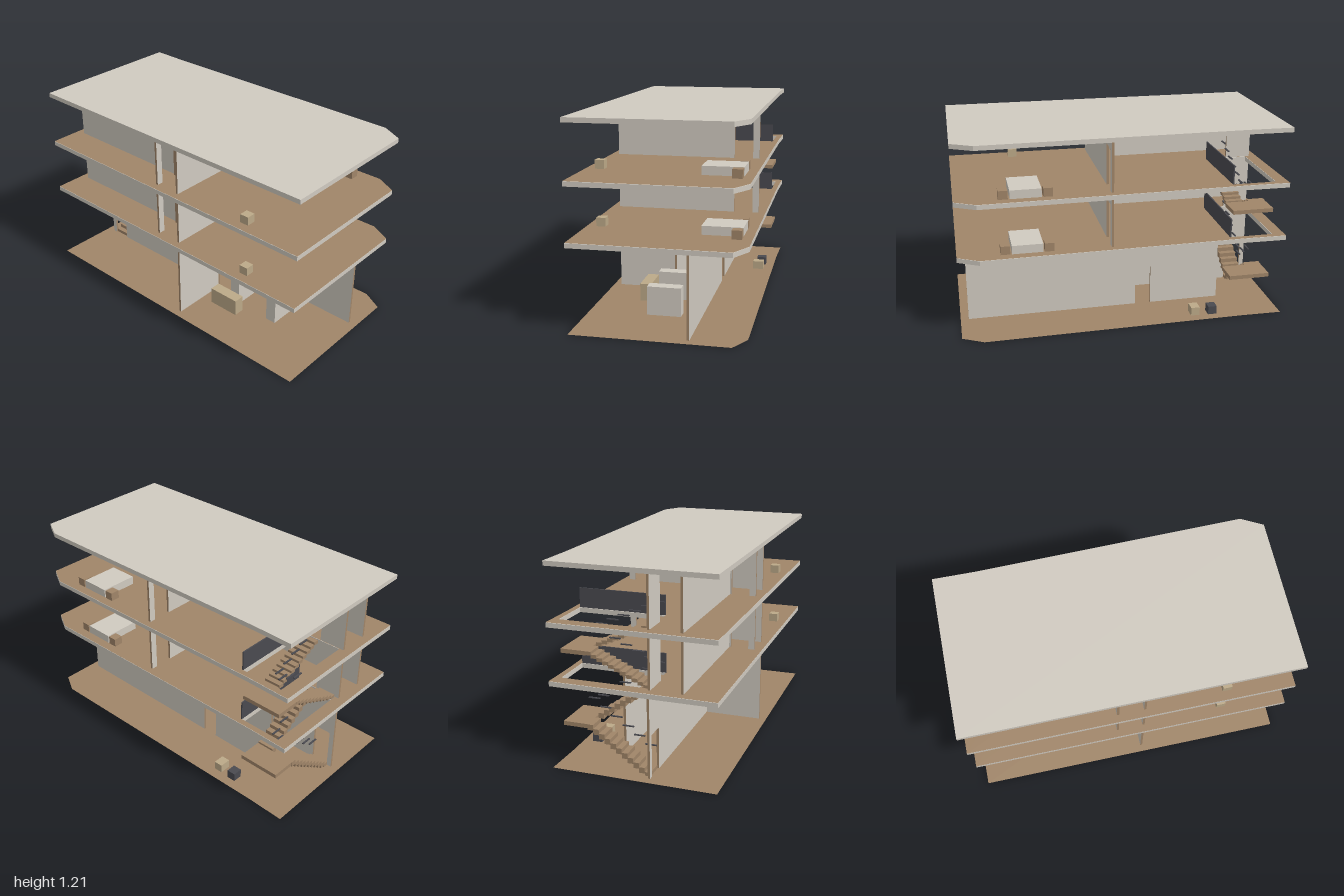
import * as THREE from 'three';

const mat = (name, color) => {
  const m = new THREE.MeshStandardMaterial({ color });
  m.name = name;
  return m;
};

export function createModel() {
  const plaster = mat('plaster', 0xd0cac0);
  const wood = mat('wood', 0xa08568);
  const woodFloor = mat('wood floor', 0xa08568);
  woodFloor.side = THREE.DoubleSide;
  const tan = mat('tan', 0xbca988);
  const dark = mat('dark grey', 0x4a4a50);
  const root = new THREE.Group();
  root.name = 'house';

  // box given by its min and max on each axis
  const box = (parent, name, m, x0, x1, y0, y1, z0, z1) => {
    const mesh = new THREE.Mesh(new THREE.BoxGeometry(x1 - x0, y1 - y0, z1 - z0), m);
    mesh.position.set((x0 + x1) / 2, (y0 + y1) / 2, (z0 + z1) / 2);
    mesh.name = name;
    parent.add(mesh);
    return mesh;
  };
  const group = (name, parent = root) => {
    const g = new THREE.Group();
    g.name = name;
    parent.add(g);
    return g;
  };

  // thin walls: plaster faces, wooden ends, optional door opening [from, to]
  const T = 0.007;
  const endsX = [wood, wood, plaster, plaster, plaster, plaster];
  const endsZ = [plaster, plaster, plaster, plaster, wood, wood];
  const wall = (parent, name, axis, at, a, b, y0, y1, door) => {
    const piece = (p, q, lo, hi) => axis === 'x'
      ? box(parent, name, endsX, p, q, lo, hi, at - T, at + T)
      : box(parent, name, endsZ, at - T, at + T, lo, hi, p, q);
    if (!door) return piece(a, b, y0, y1);
    piece(a, door[0], y0, y1);
    piece(door[1], b, y0, y1);
    const lintel = piece(door[0], door[1], y0 + 0.255, y1);
    lintel.material = plaster;
  };

  // floor outline with a cut corner; shape y is -z
  const outline = (hole) => {
    const s = new THREE.Shape([
      [-1, -0.495], [1, -0.495], [1, 0.43], [0.87, 0.5], [-0.75, 0.485], [-1, 0.49],
    ].map(([x, y]) => new THREE.Vector2(x, y)));
    if (hole) {
      s.holes.push(new THREE.Path([
        [-0.925, -0.08], [-0.925, 0.45], [-0.66, 0.45], [-0.66, -0.08],
      ].map(([x, y]) => new THREE.Vector2(x, y))));
    }
    return s;
  };
  const sheet = (name, y, hole) => {
    const m = new THREE.Mesh(new THREE.ShapeGeometry(outline(hole)).rotateX(-Math.PI / 2), woodFloor);
    m.position.y = y;
    m.name = name;
    root.add(m);
  };
  const slab = (name, y0, y1, hole) => {
    const geo = new THREE.ExtrudeGeometry(outline(hole), { depth: y1 - y0, bevelEnabled: false });
    const m = new THREE.Mesh(geo.rotateX(-Math.PI / 2), plaster);
    m.position.y = y0;
    m.name = name;
    root.add(m);
  };

  // floors and roof
  sheet('groundFloor', 0.002, false);
  slab('firstSlab', 0.5, 0.528, true);
  sheet('firstFloorBoards', 0.53, true);
  slab('secondSlab', 0.842, 0.87, true);
  sheet('secondFloorBoards', 0.872, true);
  slab('roof', 1.186, 1.214, false);

  // ground floor walls
  const ground = group('groundFloorWalls');
  wall(ground, 'entranceWall', 'x', 0.082, -0.95, 0.088, 0, 0.5, [-0.92, -0.81]);
  wall(ground, 'frontDivider', 'z', 0.081, 0.089, 0.45, 0, 0.5);
  wall(ground, 'rearWall', 'x', -0.18, -0.67, 0.95, 0, 0.5, [-0.22, -0.12]);

  // ground floor furniture
  const lobby = group('lobbyFurniture');
  box(lobby, 'counter', tan, 0.165, 0.37, 0, 0.11, 0.175, 0.245);
  for (const x of [0.24, 0.535]) box(lobby, 'cabinet', plaster, x, x + 0.07, 0, 0.177, -0.065, 0.14);
  box(lobby, 'tanBin', tan, -0.485, -0.43, 0, 0.055, -0.425, -0.355);
  box(lobby, 'darkBin', dark, -0.595, -0.54, 0, 0.055, -0.43, -0.37);

  // the two upper storeys
  for (const [y, top] of [[0.53, 0.842], [0.872, 1.186]]) {
    const storey = group('upperStorey');
    wall(storey, 'bedroomWall', 'z', 0.081, -0.45, 0.45, y, top, [-0.41, -0.295]);
    wall(storey, 'frontWall', 'x', 0.28, -0.95, -0.078, y, top);
    wall(storey, 'hallWall', 'z', -0.085, 0.287, 0.45, y, top, [0.297, 0.41]);
    wall(storey, 'stairWall', 'x', 0.09, -0.95, -0.79, y, top);
    box(storey, 'stairGuard', dark, -0.66, -0.652, y, y + 0.117, -0.45, 0.08);
    box(storey, 'bed', plaster, 0.495, 0.68, y, y + 0.052, -0.44, -0.2);
    for (const x of [0.43, 0.69]) box(storey, 'nightstand', wood, x, x + 0.056, y, y + 0.052, -0.44, -0.382);
    box(storey, 'stool', tan, 0.56, 0.616, y, y + 0.052, 0.382, 0.438);
  }

  // stairs: a flight back to the landing, then one forward to the next floor
  const N = 11, run = 0.38 / N;
  for (const [y0, y1] of [[0, 0.53], [0.53, 0.872]]) {
    const stairs = group('stairs');
    const mid = (y0 + y1) / 2, rise = (mid - y0) / N;
    box(stairs, 'landing', wood, -0.92, -0.665, mid - 0.025, mid, -0.45, -0.3);
    for (let i = 0; i < N; i++) {
      const zl = 0.08 - run * i, zu = -0.3 + run * i;
      const low = y0 + rise * (i + 1), up = mid + rise * (i + 0.5);
      box(stairs, 'lowerStep', wood, -0.922, -0.815, Math.max(y0, low - rise * 1.4), low, zl - run, zl);
      box(stairs, 'upperStep', wood, -0.775, -0.668, up - rise * 1.4, up, zu, zu + run);
      // handrail pieces span two steps
      if (i % 2 === 0) {
        box(stairs, 'lowerRail', dark, -0.825, -0.815, low + 0.12, low + 0.126, zl - 2 * run, zl);
        box(stairs, 'upperRail', dark, -0.775, -0.765, up + 0.11, up + 0.116, zu, zu + 2 * run);
      }
    }
  }
  return root;
}
